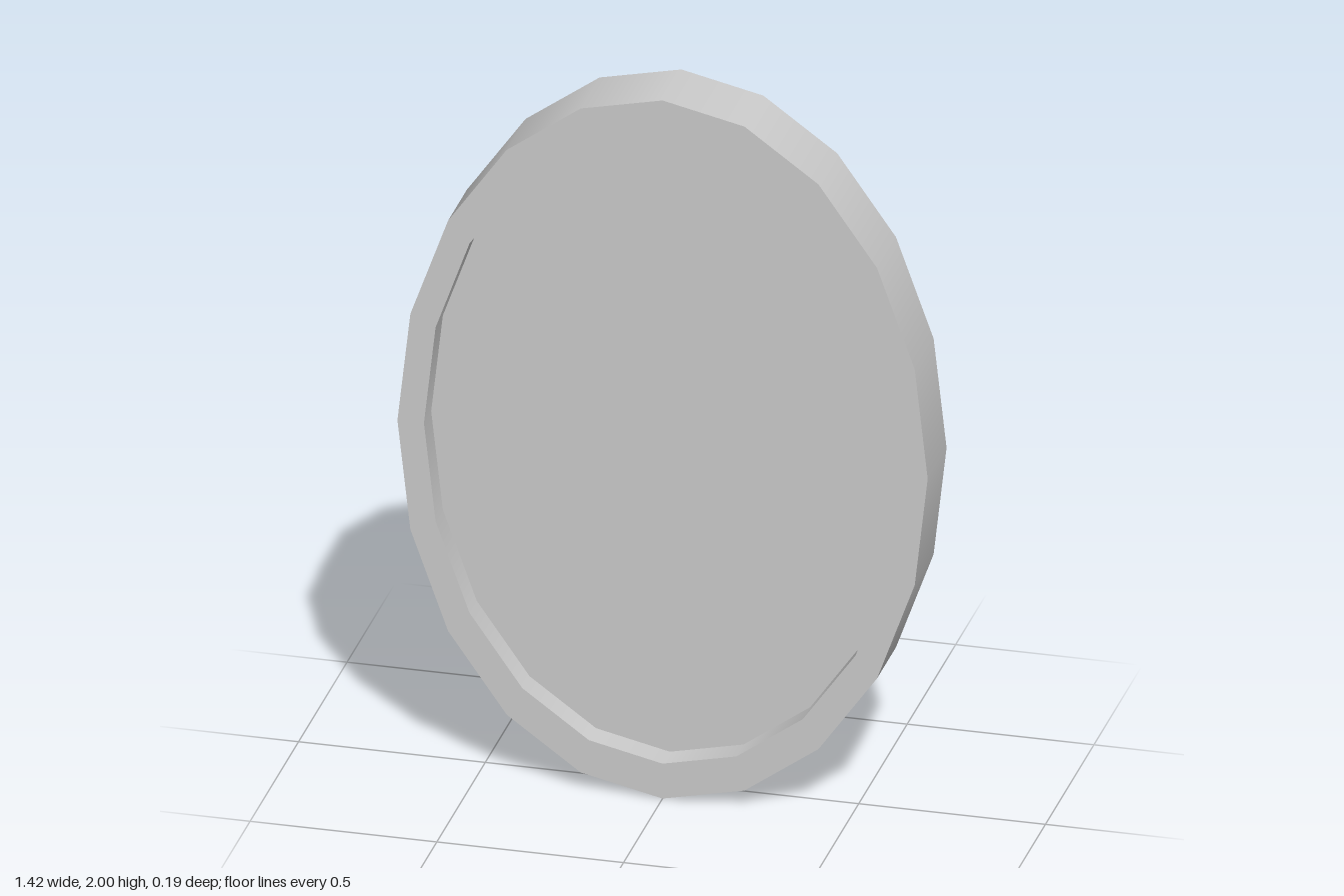
import * as THREE from 'three';
import { mergeGeometries } from 'three/addons/utils/BufferGeometryUtils.js';

const SIDES = 20, RX = 0.71, RY = 1, HALF = 0.0975, INNER = 0.9, FLOOR = 0.0225;

// Turns a profile of [radius, z] points into an oval, with a sharp edge at each point
function ovalFromProfile(profile) {
  const bands = [];
  for (let i = 0; i < profile.length - 1; i++) {
    const pair = [profile[i], profile[i + 1]].map(([r, z]) => new THREE.Vector2(r, z));
    bands.push(new THREE.LatheGeometry(pair, SIDES));
  }
  const geometry = mergeGeometries(bands);
  geometry.rotateX(Math.PI / 2);
  geometry.scale(RX, RY, 1);
  geometry.translate(0, RY, 0);
  return geometry;
}

export function createModel() {
  const group = new THREE.Group();
  group.name = 'ovalMirror';
  const material = new THREE.MeshStandardMaterial({ color: 0xcccccc });
  const add = (name, profile) => {
    const mesh = new THREE.Mesh(ovalFromProfile(profile), material);
    mesh.name = name;
    group.add(mesh);
  };

  // Flat back, smooth outer wall, front rim and inner wall
  add('frame', [[0, -HALF], [1, -HALF], [1, HALF], [INNER, HALF], [INNER, FLOOR]]);
  // Recessed oval panel
  add('panel', [[INNER, FLOOR], [0, FLOOR]]);

  return group;
}
